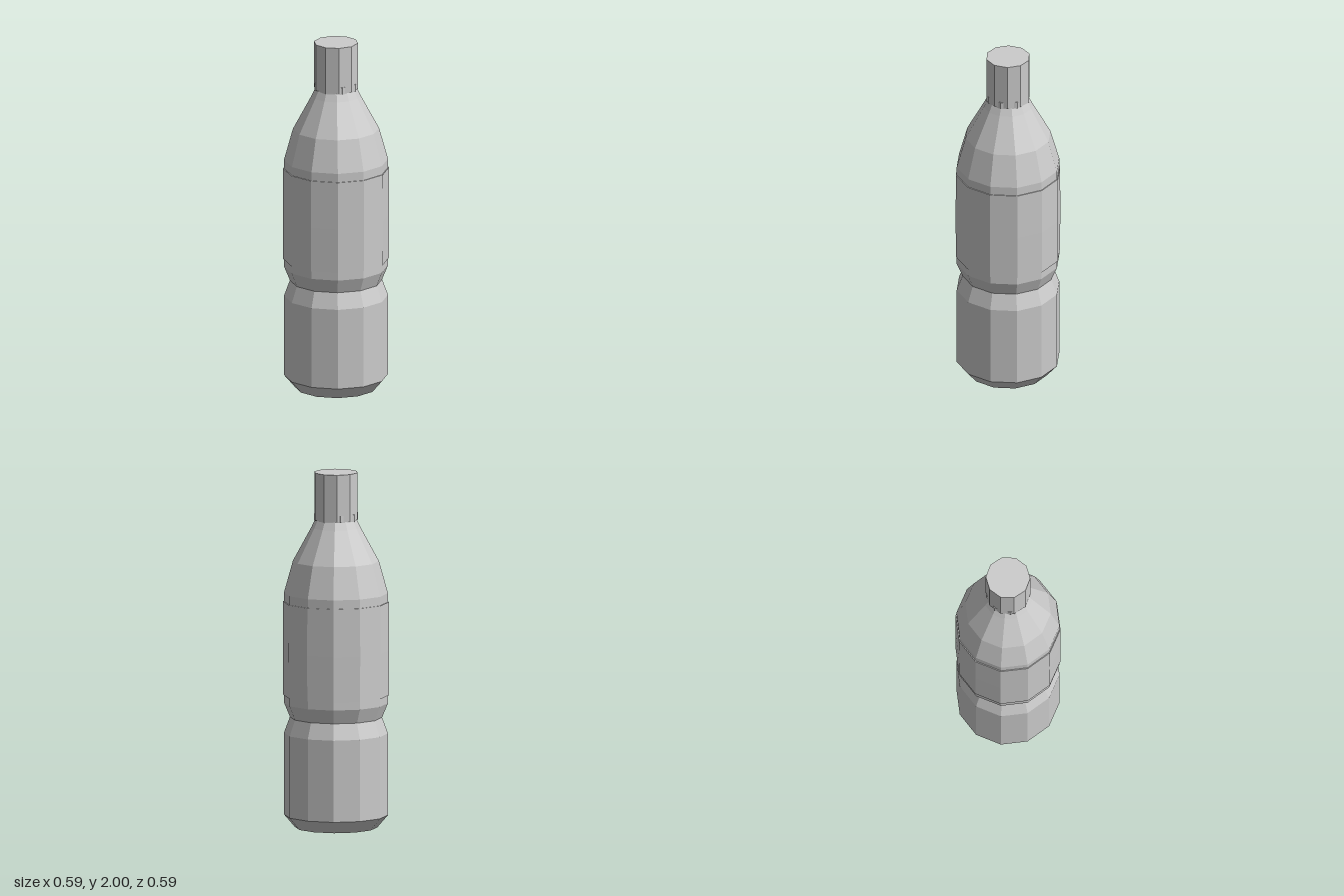
import * as THREE from 'three';

const material = new THREE.MeshStandardMaterial({ color: 0xcccccc, flatShading: true });

// Faceted solid of revolution from [radius, height] pairs, listed bottom to top
function turned(name, profile, sides) {
  const points = profile.map(([r, y]) => new THREE.Vector2(r, y));
  const mesh = new THREE.Mesh(new THREE.LatheGeometry(points, sides), material);
  mesh.name = name;
  return mesh;
}

export function createModel() {
  const bottle = new THREE.Group();
  bottle.name = 'bottle';

  // Body: chamfered foot, pinched waist and tapering shoulder
  bottle.add(turned('body', [
    [0, 0], [0.23, 0], [0.29, 0.07], [0.29, 0.53], [0.257, 0.62], [0.29, 0.7],
    [0.29, 1.32], [0.24, 1.5], [0.137, 1.69], [0.115, 1.735], [0, 1.735],
  ], 12));

  // Label sleeve wrapped around the body
  bottle.add(turned('label', [
    [0.285, 0.745], [0.295, 0.745], [0.296, 1.0], [0.295, 1.27], [0.285, 1.27],
  ], 12));

  // Neck ring under the cap
  bottle.add(turned('neckRing', [
    [0, 1.73], [0.124, 1.73], [0.124, 1.77], [0, 1.77],
  ], 8));

  // Cap
  bottle.add(turned('cap', [
    [0, 1.735], [0.124, 1.735], [0.124, 2], [0, 2],
  ], 10));

  return bottle;
}
